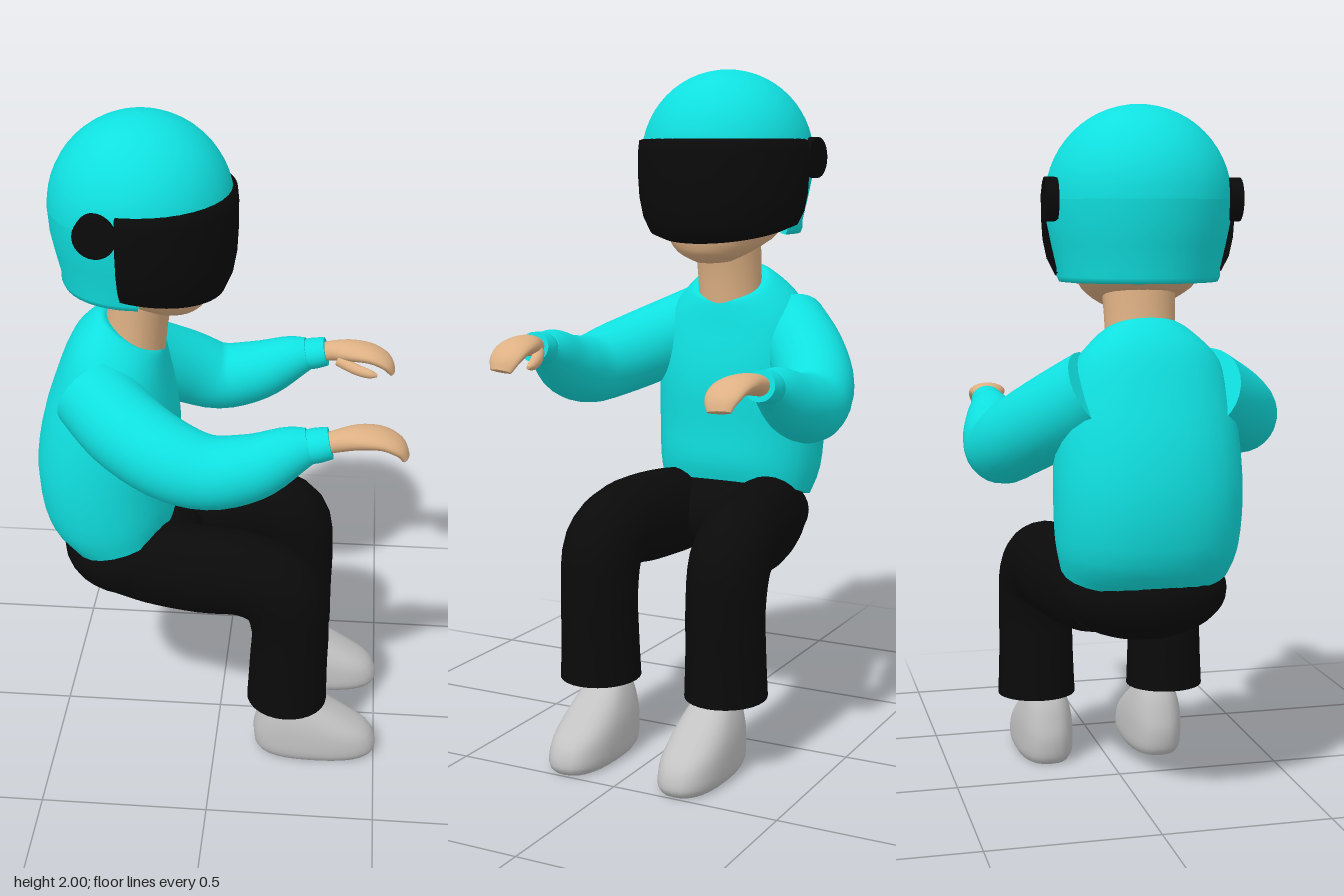
import * as THREE from 'three';

const mat = (name, color, side = THREE.FrontSide) => {
  const m = new THREE.MeshStandardMaterial({ color, side });
  m.name = name;
  return m;
};
const V = (x, y, z) => new THREE.Vector3(x, y, z);

// Closed skin over rings {c, u, v}; u x v points along the loft
function skin(rings, power = 2, n = 28) {
  const pos = [], idx = [];
  const bend = (k) => Math.sign(k) * Math.abs(k) ** (2 / power);
  const addRing = ({ c, u, v }) => {
    for (let j = 0; j < n; j++) {
      const a = (j / n) * Math.PI * 2;
      const p = c.clone().addScaledVector(u, bend(Math.cos(a))).addScaledVector(v, bend(Math.sin(a)));
      pos.push(p.x, p.y, p.z);
    }
  };
  rings.forEach(addRing);
  for (let i = 0; i < rings.length - 1; i++) {
    for (let j = 0; j < n; j++) {
      const a = i * n + j, b = i * n + (j + 1) % n;
      idx.push(a, b, a + n, b, b + n, a + n);
    }
  }
  // Flat end caps
  [rings[0], rings[rings.length - 1]].forEach((r, end) => {
    const s = pos.length / 3;
    addRing(r);
    pos.push(r.c.x, r.c.y, r.c.z);
    for (let j = 0; j < n; j++) {
      const a = s + j, b = s + (j + 1) % n;
      idx.push(s + n, end ? a : b, end ? b : a);
    }
  });
  const g = new THREE.BufferGeometry();
  g.setAttribute('position', new THREE.Float32BufferAttribute(pos, 3));
  g.setIndex(idx);
  g.computeVertexNormals();
  return g;
}

// Smooth interpolation of a list of number rows
function smoothRows(rows, steps) {
  const out = [];
  const cr = (a, b, c, d, t) => 0.5 * (2 * b + (c - a) * t + (2 * a - 5 * b + 4 * c - d) * t * t + (3 * b - a - 3 * c + d) * t ** 3);
  const at = (i) => rows[Math.max(0, Math.min(rows.length - 1, i))];
  for (let i = 0; i < rows.length - 1; i++) {
    for (let s = 0; s < steps; s++) {
      out.push(rows[i].map((_, k) => cr(at(i - 1)[k], at(i)[k], at(i + 1)[k], at(i + 2)[k], s / steps)));
    }
  }
  out.push(rows[rows.length - 1]);
  return out;
}

// Limb along a path; rows are [x, y, z, height radius, side radius]
function limb(rows, steps = 4) {
  const pts = smoothRows(rows, steps);
  const p = pts.map((r) => V(r[0], r[1], r[2]));
  return skin(pts.map((r, i) => {
    const t = p[Math.min(i + 1, p.length - 1)].clone().sub(p[Math.max(i - 1, 0)]).normalize();
    const side = V(0, 0, 1).addScaledVector(t, -t.z).normalize();
    const up = t.clone().cross(side);
    return { c: p[i], u: side.multiplyScalar(r[4] ?? r[3]), v: up.multiplyScalar(r[3]) };
  }));
}

// Body stacked upwards; rows are [back x, back y, front x, front y, half width]
function stack(rows, z = 0, power = 2, steps = 3) {
  return skin(smoothRows(rows, steps).map(([bx, by, fx, fy, w]) => ({
    c: V((bx + fx) / 2, (by + fy) / 2, z),
    u: V((fx - bx) / 2, (fy - by) / 2, 0),
    v: V(0, 0, -w),
  })), power);
}

export function createModel() {
  const cyan = mat('cyan', 0x10e0e0);
  const cyanShell = mat('cyanShell', 0x10e0e0, THREE.DoubleSide);
  const black = mat('black', 0x0a0a0a, THREE.DoubleSide);
  const tan = mat('skin', 0xdeb184);
  const grey = mat('shoeGrey', 0xc2c2c2);

  const model = new THREE.Group();
  model.name = 'seatedDriver';
  const add = (parent, name, geo, material) => {
    const m = new THREE.Mesh(geo, material);
    m.name = name;
    parent.add(m);
    return m;
  };

  // Sweater body with a sloping collar and hem
  add(model, 'sweater', stack([
    [-0.45, 0.67, -0.14, 0.76, 0.24], [-0.52, 0.76, -0.125, 0.82, 0.258],
    [-0.545, 0.92, -0.125, 0.92, 0.265], [-0.525, 1.08, -0.12, 1.04, 0.26],
    [-0.48, 1.22, -0.13, 1.14, 0.245], [-0.435, 1.33, -0.145, 1.22, 0.215],
    [-0.39, 1.388, -0.155, 1.28, 0.165], [-0.345, 1.42, -0.163, 1.312, 0.12],
    [-0.325, 1.41, -0.18, 1.312, 0.1],
  ], 0, 2.2), cyan);
  add(model, 'neck', limb([[-0.25, 1.3, 0, 0.09, 0.1], [-0.235, 1.42, 0, 0.09, 0.1], [-0.21, 1.58, 0, 0.1, 0.11]]), tan);

  // Head, turned slightly
  const head = new THREE.Group();
  head.name = 'head';
  head.position.x = -0.22;
  head.rotation.y = -0.08;
  model.add(head);
  add(head, 'face', stack([
    [0.02, 1.44, 0.13, 1.428, 0.06], [-0.05, 1.475, 0.175, 1.455, 0.12],
    [-0.14, 1.52, 0.195, 1.51, 0.17], [-0.19, 1.62, 0.22, 1.62, 0.205],
    [-0.15, 1.78, 0.15, 1.78, 0.15],
  ]), tan);

  // Helmet: full dome above, open-fronted shell below
  const lathe = (pts, seg, start, len) =>
    new THREE.LatheGeometry(pts.map(([r, y]) => new THREE.Vector2(r, y)), seg, start, len);
  const dome = [];
  for (let i = 0; i <= 14; i++) {
    const a = (i / 14) * Math.PI / 2;
    dome.push([i === 14 ? 0 : 0.26 * Math.cos(a), 1.74 + 0.26 * Math.sin(a)]);
  }
  add(head, 'helmetDome', lathe(dome, 40), cyanShell);
  add(head, 'helmetShell', lathe([
    [0.19, 1.54], [0.205, 1.518], [0.222, 1.515], [0.229, 1.53], [0.228, 1.55],
    [0.244, 1.62], [0.256, 1.68], [0.26, 1.74],
  ], 28, Math.PI * 1.5 - 1.72, 3.44), cyanShell);

  // Visor with a lower edge that rises towards the sides
  const visor = lathe([
    [0.205, 1.49], [0.235, 1.503], [0.256, 1.55], [0.267, 1.61], [0.271, 1.68],
    [0.271, 1.75], [0.267, 1.79], [0.25, 1.796],
  ], 36, Math.PI / 2 - 1.63, 3.26);
  const vp = visor.attributes.position;
  for (let i = 0; i < vp.count; i++) {
    const x = vp.getX(i), y = vp.getY(i);
    const rise = 0.04 * (1 - x / Math.hypot(x, vp.getZ(i)));
    vp.setY(i, y + rise * Math.max(0, (1.79 - y) / 0.3));
  }
  visor.computeVertexNormals();
  add(head, 'visor', visor, black);
  for (const s of [1, -1]) {
    const pivot = add(head, 'visorPivot', new THREE.CylinderGeometry(0.06, 0.06, 0.035, 24), black);
    pivot.rotation.x = Math.PI / 2;
    pivot.position.set(-0.07, 1.74, s * 0.254);
  }

  // Trousers seat
  const seat = add(model, 'trouserSeat', new THREE.SphereGeometry(1, 32, 20), black);
  seat.scale.set(0.215, 0.14, 0.245);
  seat.position.set(-0.265, 0.645, 0);

  for (const s of [1, -1]) {
    const side = s > 0 ? 'front' : 'back';

    // Arm: the back one hangs lower and reaches less far
    const arm = new THREE.Group();
    arm.name = side + 'Arm';
    model.add(arm);
    const pose = (rows) => rows.map(([x, y, z, ...r]) => {
      const k = s > 0 ? 0 : Math.min(1, (x + 0.34) / 0.34);
      return [x - 0.03 * k, y - 0.07 * k, z * s, ...r];
    });
    add(arm, side + 'Sleeve', limb(pose([
      [-0.35, 1.22, 0.15, 0.12], [-0.25, 1.165, 0.25, 0.12], [-0.12, 1.12, 0.33, 0.115],
      [0, 1.1, 0.36, 0.105], [0.12, 1.125, 0.362, 0.093], [0.22, 1.175, 0.355, 0.07], [0.275, 1.195, 0.352, 0.05],
    ])), cyan);
    add(arm, side + 'Cuff', limb(pose([
      [0.255, 1.186, 0.354, 0.044, 0.047], [0.29, 1.195, 0.352, 0.048, 0.052], [0.33, 1.204, 0.35, 0.044, 0.047],
    ])), cyan);
    add(arm, side + 'Hand', limb(pose([
      [0.31, 1.198, 0.35, 0.027, 0.03], [0.35, 1.21, 0.347, 0.03, 0.036], [0.41, 1.218, 0.335, 0.029, 0.052],
      [0.47, 1.213, 0.328, 0.024, 0.056], [0.515, 1.19, 0.326, 0.02, 0.05], [0.535, 1.16, 0.328, 0.012, 0.035],
    ])), tan);
    add(arm, side + 'Thumb', limb(pose([
      [0.37, 1.195, 0.31, 0.018], [0.42, 1.18, 0.285, 0.017], [0.465, 1.172, 0.27, 0.014], [0.49, 1.168, 0.268, 0.005],
    ])), tan);

    // Leg
    const leg = new THREE.Group();
    leg.name = side + 'Leg';
    leg.position.z = s > 0 ? 0 : -0.015;
    model.add(leg);
    add(leg, side + 'TrouserLeg', limb([
      [-0.33, 0.64, s * 0.12, 0.1, 0.09], [-0.2, 0.645, s * 0.14, 0.13, 0.11], [-0.04, 0.65, s * 0.17, 0.138, 0.118],
      [0.1, 0.65, s * 0.19, 0.13, 0.115], [0.2, 0.6, s * 0.2, 0.132, 0.115], [0.228, 0.48, s * 0.2, 0.117, 0.114],
      [0.226, 0.35, s * 0.2, 0.118, 0.115], [0.223, 0.215, s * 0.2, 0.122, 0.12],
    ]), black);
    add(leg, side + 'Ankle', new THREE.CylinderGeometry(0.052, 0.05, 0.16, 20), tan)
      .position.set(0.225, 0.2, s * 0.175);
    add(leg, side + 'Shoe', stack([
      [0.14, 0, 0.49, 0, 0.078], [0.125, 0.025, 0.505, 0.025, 0.09], [0.12, 0.08, 0.485, 0.08, 0.09],
      [0.13, 0.13, 0.415, 0.13, 0.084], [0.145, 0.18, 0.335, 0.18, 0.07], [0.165, 0.218, 0.285, 0.212, 0.056],
    ], s * 0.17, 2.5), grey);
  }
  return model;
}
